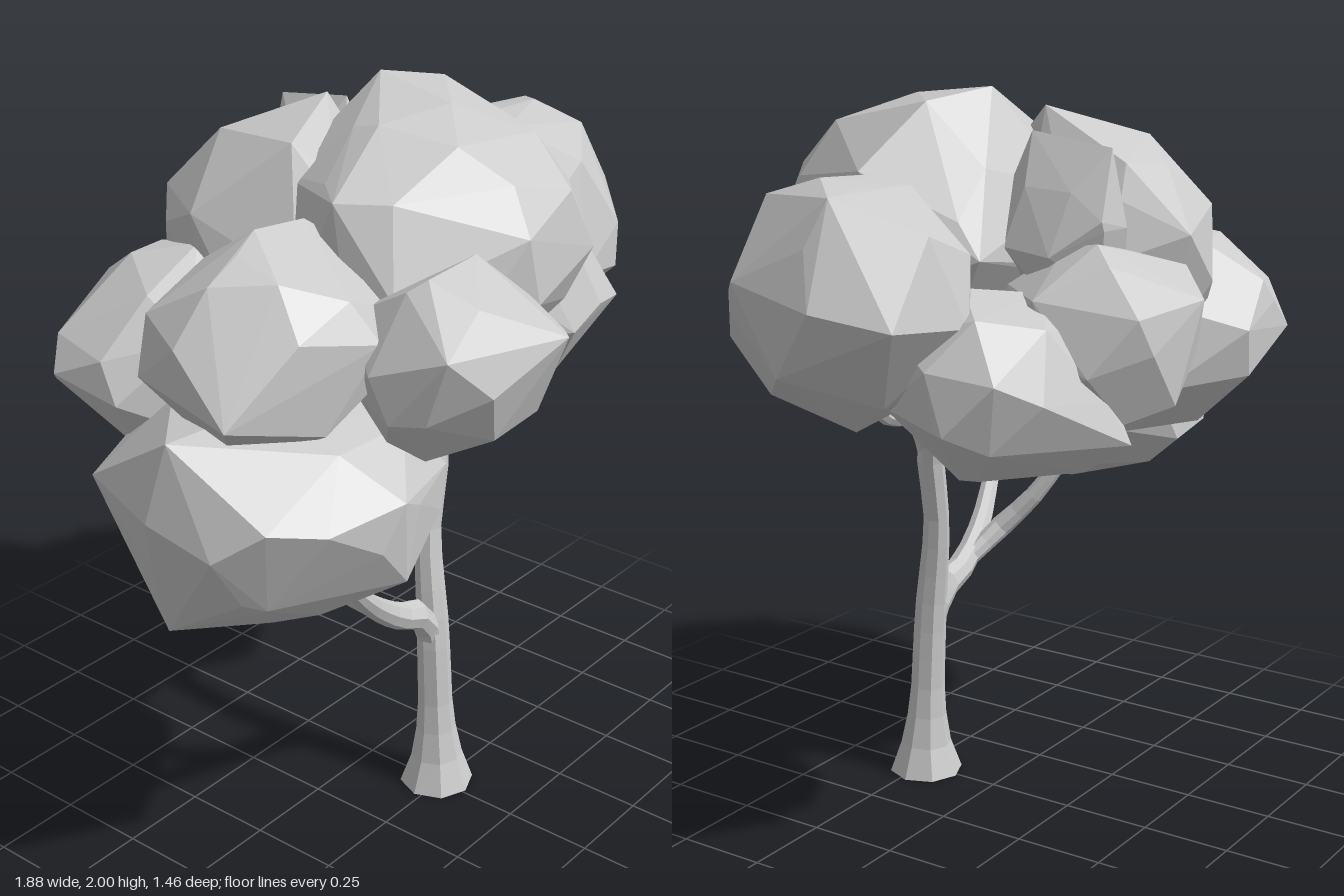
import * as THREE from 'three';
import { ConvexGeometry } from 'three/addons/geometries/ConvexGeometry.js';

const bark = new THREE.MeshStandardMaterial({ color: 0xcccccc, flatShading: true });
const leaf = new THREE.MeshStandardMaterial({ color: 0xcccccc, flatShading: true });

// Small seeded random generator
function seeded(seed) {
  let s = seed * 7919 + 17;
  return () => (s = (s * 16807) % 2147483647) / 2147483647;
}

// Tapered, closed, eight-sided limb; each point is [x, y, z, radius]
function limb(name, points, segments) {
  const curve = new THREE.CatmullRomCurve3(points.map(p => new THREE.Vector3(p[0], p[1], p[2])));
  const sides = 8;
  const geo = new THREE.TubeGeometry(curve, segments, 1, sides);
  const pos = geo.attributes.position, nor = geo.attributes.normal;
  const dir = new THREE.Vector3();
  for (let i = 0; i <= segments; i++) {
    // The first and last rings collapse to a point and form the end caps
    const u = THREE.MathUtils.clamp((i - 1) / (segments - 2), 0, 1);
    const k = curve.getUtoTmapping(u) * (points.length - 1);
    const a = Math.min(Math.floor(k), points.length - 2);
    const capped = i === 0 || i === segments;
    const r = capped ? 0 : THREE.MathUtils.lerp(points[a][3], points[a + 1][3], k - a);
    const centre = curve.getPointAt(u);
    for (let j = 0; j <= sides; j++) {
      const n = i * (sides + 1) + j;
      dir.fromBufferAttribute(nor, n).multiplyScalar(r).add(centre);
      pos.setXYZ(n, dir.x, i <= 1 && centre.y === 0 ? 0 : dir.y, dir.z);
    }
  }
  geo.computeVertexNormals();
  const mesh = new THREE.Mesh(geo, bark);
  mesh.name = name;
  return mesh;
}

// Faceted clump of leaves: a rounded hull fitted to a box, pulled out to a few corners
function clump(name, seed, count, min, max, corners) {
  const rnd = seeded(seed);
  const turn = new THREE.Euler(rnd() * 6, rnd() * 6, rnd() * 6);
  const pts = [];
  for (let i = 0; i < count; i++) {
    const y = 1 - 2 * (i + 0.5) / count;
    const a = i * 2.39996 + (rnd() - 0.5) * 0.6;
    const r = Math.sqrt(1 - y * y);
    pts.push(new THREE.Vector3(r * Math.cos(a), y + (rnd() - 0.5) * 0.12, r * Math.sin(a))
      .normalize().multiplyScalar(0.94 + rnd() * 0.1).applyEuler(turn));
  }
  const box = new THREE.Box3().setFromPoints(pts);
  const size = box.getSize(new THREE.Vector3());
  const lo = new THREE.Vector3(...min), span = new THREE.Vector3(...max).sub(lo);
  pts.forEach(p => p.sub(box.min).divide(size).multiply(span).add(lo));
  corners.forEach(c => pts.push(new THREE.Vector3(...c)));
  const mesh = new THREE.Mesh(new ConvexGeometry(pts), leaf);
  mesh.name = name;
  return mesh;
}

export function createModel() {
  const tree = new THREE.Group();
  tree.name = 'tree';

  // Trunk and branches
  const wood = new THREE.Group();
  wood.name = 'wood';
  wood.add(
    limb('trunk', [
      [0.01, 0, 0.23, 0.105], [0.012, 0.08, 0.228, 0.075], [0.012, 0.22, 0.222, 0.05],
      [0.015, 0.5, 0.205, 0.046], [0.04, 0.78, 0.165, 0.036], [0.08, 0.97, 0.155, 0.038],
      [0.11, 1.1, 0.13, 0.034], [0.1, 1.22, 0.12, 0.028], [0.1, 1.4, 0.11, 0.022]], 18),
    limb('leftBranch', [
      [0.01, 0.45, 0.205, 0.035], [-0.03, 0.55, 0.2, 0.046], [-0.13, 0.595, 0.195, 0.038],
      [-0.25, 0.68, 0.215, 0.032], [-0.35, 0.765, 0.25, 0.027], [-0.48, 0.89, 0.3, 0.02]], 12),
    limb('leftBackBranch', [
      [-0.16, 0.61, 0.19, 0.026], [-0.25, 0.69, 0.14, 0.032],
      [-0.29, 0.78, 0.06, 0.027], [-0.35, 0.95, -0.05, 0.02]], 9),
    limb('rightBranch', [
      [0.08, 0.98, 0.16, 0.03], [0.13, 1.07, 0.14, 0.038], [0.22, 1.12, 0.12, 0.027],
      [0.35, 1.15, 0.1, 0.022], [0.5, 1.25, 0.08, 0.016]], 11));
  tree.add(wood);

  // Foliage clumps: lowest and highest corner of the rounded body, then the jutting corners
  const foliage = new THREE.Group();
  foliage.name = 'foliage';
  foliage.add(
    clump('crownFront', 3, 36, [-0.36, 1.27, -0.28], [0.5, 1.93, 0.52],
      [[0.17, 2, -0.11], [-0.1, 1.95, 0.1], [0.12, 1.97, 0.16], [0.33, 1.97, -0.02],
        [0.52, 1.81, 0.05], [-0.34, 1.82, 0.15], [-0.33, 1.6, 0.33], [0.42, 1.6, -0.24],
        [0.34, 1.76, 0.38], [0.02, 1.83, 0.43]]),
    clump('crownBack', 5, 30, [-0.37, 1.2, -0.61], [0.22, 1.88, 0.1],
      [[0.06, 1.95, -0.2], [-0.2, 1.89, -0.1], [-0.2, 1.8, -0.4], [0.05, 1.65, -0.62],
        [-0.36, 1.6, -0.24], [0.08, 1.82, -0.45]]),
    clump('crownSmallBack', 32, 18, [0.08, 1.45, -0.52], [0.34, 1.8, -0.15],
      [[0.2, 1.87, -0.48], [0.2, 1.9, -0.25], [0.28, 1.7, -0.5]]),
    clump('rightClump', 8, 30, [0.37, 1.2, -0.36], [0.92, 1.8, 0.31],
      [[0.73, 1.82, 0], [0.5, 1.81, -0.05], [0.83, 1.79, -0.1], [0.94, 1.54, -0.12],
        [0.86, 1.5, -0.3], [0.77, 1.42, 0.26], [0.91, 1.37, 0], [0.53, 1.42, 0.32]]),
    clump('rightFrontClump', 11, 22, [0.15, 1.17, -0.05], [0.57, 1.58, 0.43],
      [[0.36, 1.68, 0.33], [0.46, 1.62, 0.28], [0.57, 1.5, 0.3], [0.24, 1.42, 0.37],
        [0.17, 1.19, 0.18], [0.49, 1.16, 0.17], [0.56, 1.38, 0.41], [0.57, 1.2, 0.12],
        [0.43, 1.4, 0.44]]),
    clump('rightBackClump', 14, 26, [0.17, 1.1, -0.56], [0.76, 1.55, -0.08],
      [[0.54, 1.08, -0.26], [0.38, 1.19, -0.65], [0.4, 1.11, -0.53], [0.42, 1.3, -0.6],
        [0.66, 1.3, -0.5], [0.77, 1.25, -0.37], [0.36, 1.13, -0.25]]),
    clump('backClump', 17, 24, [0.02, 1.15, -0.71], [0.48, 1.63, -0.22],
      [[0.18, 1.52, -0.73], [0.41, 1.5, -0.68], [0.3, 1.65, -0.5], [0.48, 1.4, -0.48],
        [0.07, 1.58, -0.62]]),
    clump('leftFrontClump', 20, 22, [-0.53, 1.25, 0.2], [0.01, 1.68, 0.7],
      [[-0.17, 1.57, 0.73], [-0.5, 1.58, 0.62], [0.01, 1.5, 0.6], [-0.16, 1.71, 0.45],
        [-0.35, 1.7, 0.45], [-0.42, 1.27, 0.5], [-0.54, 1.4, 0.48]]),
    clump('leftClump', 23, 30, [-0.84, 1.26, -0.2], [-0.15, 1.75, 0.4],
      [[-0.86, 1.43, 0.26], [-0.73, 1.71, 0.1], [-0.51, 1.78, 0.05], [-0.68, 1.5, -0.17],
        [-0.33, 1.76, 0.05]]),
    clump('leftBackClump', 26, 30, [-0.72, 1.08, -0.65], [0.02, 1.62, 0],
      [[-0.74, 1.35, -0.44], [-0.74, 1.32, -0.22], [-0.4, 1.42, -0.64], [-0.21, 1.37, -0.66],
        [-0.02, 1.09, -0.35]]),
    clump('leftLowerClump', 29, 32, [-0.92, 0.83, -0.32], [-0.09, 1.38, 0.51],
      [[-0.83, 0.81, 0.02], [-0.42, 0.83, 0], [-0.4, 0.84, 0.22], [-0.23, 0.87, 0.1],
        [-0.45, 0.89, 0.33], [-0.45, 0.9, -0.24], [-0.7, 0.86, 0.25], [-0.85, 1.2, 0.37],
        [-0.53, 1.21, 0.53], [-0.5, 0.98, 0.51], [-0.84, 0.98, 0.28], [-0.89, 1.37, 0.1],
        [-0.94, 1.17, 0.07], [-0.45, 0.98, -0.33], [-0.86, 1.2, -0.1], [-0.13, 0.96, 0.1],
        [-0.2, 1.15, 0.4]]));
  tree.add(foliage);
  return tree;
}
